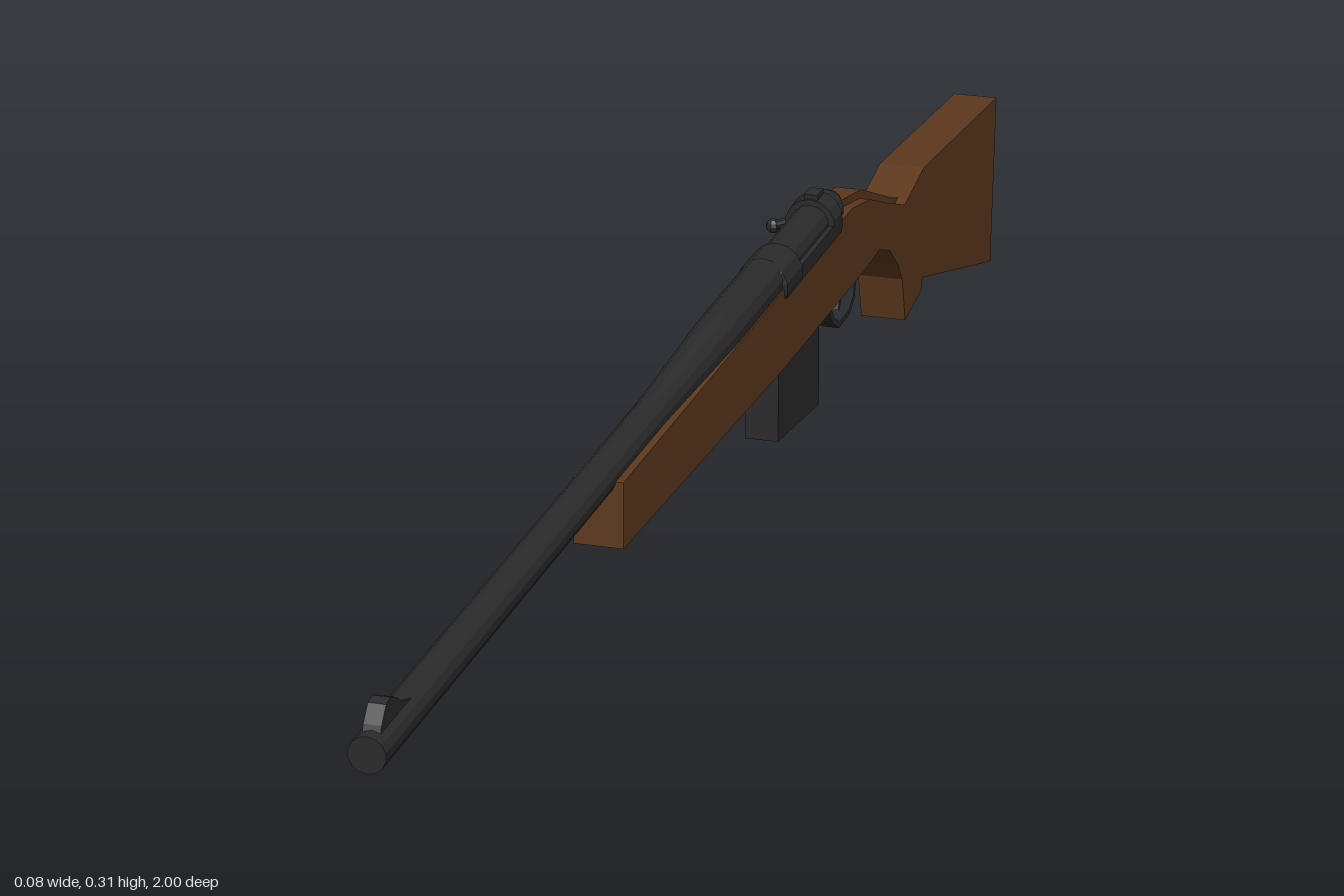
import * as THREE from 'three';

const CX = 0.014;   // centre plane of the body
const AXIS = 0.27;  // height of the barrel axis

const wood = new THREE.MeshStandardMaterial({ color: 0x5f3a1e, flatShading: true });
const steel = new THREE.MeshStandardMaterial({ color: 0x2b2b2c, flatShading: true });

export function createModel() {
  const model = new THREE.Group();

  const add = (name, geometry, material) => {
    const mesh = new THREE.Mesh(geometry, material);
    mesh.name = name;
    model.add(mesh);
    return mesh;
  };

  // Side outline given as [z, y] points, extruded across x
  const slab = (name, points, width, material, hole) => {
    const shape = new THREE.Shape(points.map(([z, y]) => new THREE.Vector2(z, y)));
    if (hole) shape.holes.push(new THREE.Path(hole.map(([z, y]) => new THREE.Vector2(z, y))));
    const g = new THREE.ExtrudeGeometry(shape, { depth: width, bevelEnabled: false });
    g.translate(0, 0, -width / 2).rotateY(-Math.PI / 2).translate(CX, 0, 0);
    return add(name, g, material);
  };

  // Turned part along z from [radius, z] points
  const turned = (name, points, y = AXIS, sides = 14) => {
    const g = new THREE.LatheGeometry(points.map(([r, z]) => new THREE.Vector2(r, z)), sides);
    g.rotateX(Math.PI / 2).translate(CX, y, 0);
    return add(name, g, steel);
  };

  // Wooden stock with grip and butt
  slab('stock', [
    [0.375, 0.203], [0.375, 0.268], [-0.40, 0.264], [-0.47, 0.25], [-0.54, 0.222], [-0.61, 0.196],
    [-0.63, 0.2], [-0.687, 0.211], [-1, 0.187], [-0.985, 0], [-0.687, 0.087], [-0.683, 0.074],
    [-0.617, 0.064], [-0.603, 0.115], [-0.585, 0.138], [-0.55, 0.166], [-0.51, 0.181],
    [-0.45, 0.179], [-0.16, 0.182],
  ], 0.048, wood);
  // Raised comb along the wrist
  slab('wristRidge', [
    [-0.36, 0.26], [-0.40, 0.272], [-0.475, 0.258], [-0.54, 0.231], [-0.61, 0.202], [-0.63, 0.197],
    [-0.60, 0.18], [-0.47, 0.235],
  ], 0.026, wood);

  // Barrel, thickening towards the receiver
  turned('barrel', [[0, -0.16], [0.023, -0.16], [0.023, 0], [0.017, 0.22], [0.017, 1], [0, 1]]);
  turned('receiverRing', [[0, -0.208], [0.027, -0.208], [0.027, -0.155], [0.023, -0.15], [0, -0.15]], 0.265);
  turned('bolt', [[0, -0.345], [0.02, -0.345], [0.02, -0.2], [0, -0.2]]);
  turned('rearRing', [[0, -0.357], [0.026, -0.357], [0.026, -0.328], [0, -0.328]]);
  turned('boltShroud', [[0, -0.405], [0.012, -0.405], [0.02, -0.385], [0.02, -0.34], [0, -0.34]], 0.268);
  // Receiver bed set into the stock
  add('receiverBed', new THREE.BoxGeometry(0.05, 0.016, 0.2).translate(CX, 0.262, -0.26), steel);
  // Rear sight block
  add('rearSight', new THREE.BoxGeometry(0.014, 0.014, 0.022).translate(CX, 0.293, -0.342), steel);

  // Bolt handle on the right side
  const root = new THREE.Vector3(0.002, 0.264, -0.368);
  const tip = new THREE.Vector3(-0.036, 0.249, -0.368);
  add('boltHandle', new THREE.TubeGeometry(new THREE.LineCurve3(root, tip), 1, 0.005, 8), steel);
  add('boltKnob', new THREE.SphereGeometry(0.0075, 8, 6).translate(tip.x, tip.y, tip.z), steel);

  // Front sight
  slab('frontSight', [
    [0.99, 0.28], [0.985, 0.291], [0.973, 0.305], [0.962, 0.307], [0.95, 0.302], [0.935, 0.292], [0.91, 0.284], [0.91, 0.28],
  ], 0.016, steel);

  // Magazine
  slab('magazine', [[-0.157, 0.19], [-0.157, 0.102], [-0.305, 0.086], [-0.305, 0.19]], 0.034, steel);

  // Trigger guard loop and trigger
  slab('triggerGuard', [
    [-0.355, 0.183], [-0.368, 0.165], [-0.385, 0.143], [-0.408, 0.13], [-0.45, 0.13],
    [-0.47, 0.142], [-0.476, 0.183],
  ], 0.018, steel, [
    [-0.368, 0.178], [-0.378, 0.163], [-0.392, 0.146], [-0.411, 0.136], [-0.447, 0.136],
    [-0.463, 0.146], [-0.469, 0.178],
  ]);
  slab('trigger', [
    [-0.425, 0.182], [-0.43, 0.16], [-0.424, 0.143], [-0.43, 0.142], [-0.438, 0.16], [-0.436, 0.182],
  ], 0.008, steel);

  return model;
}
